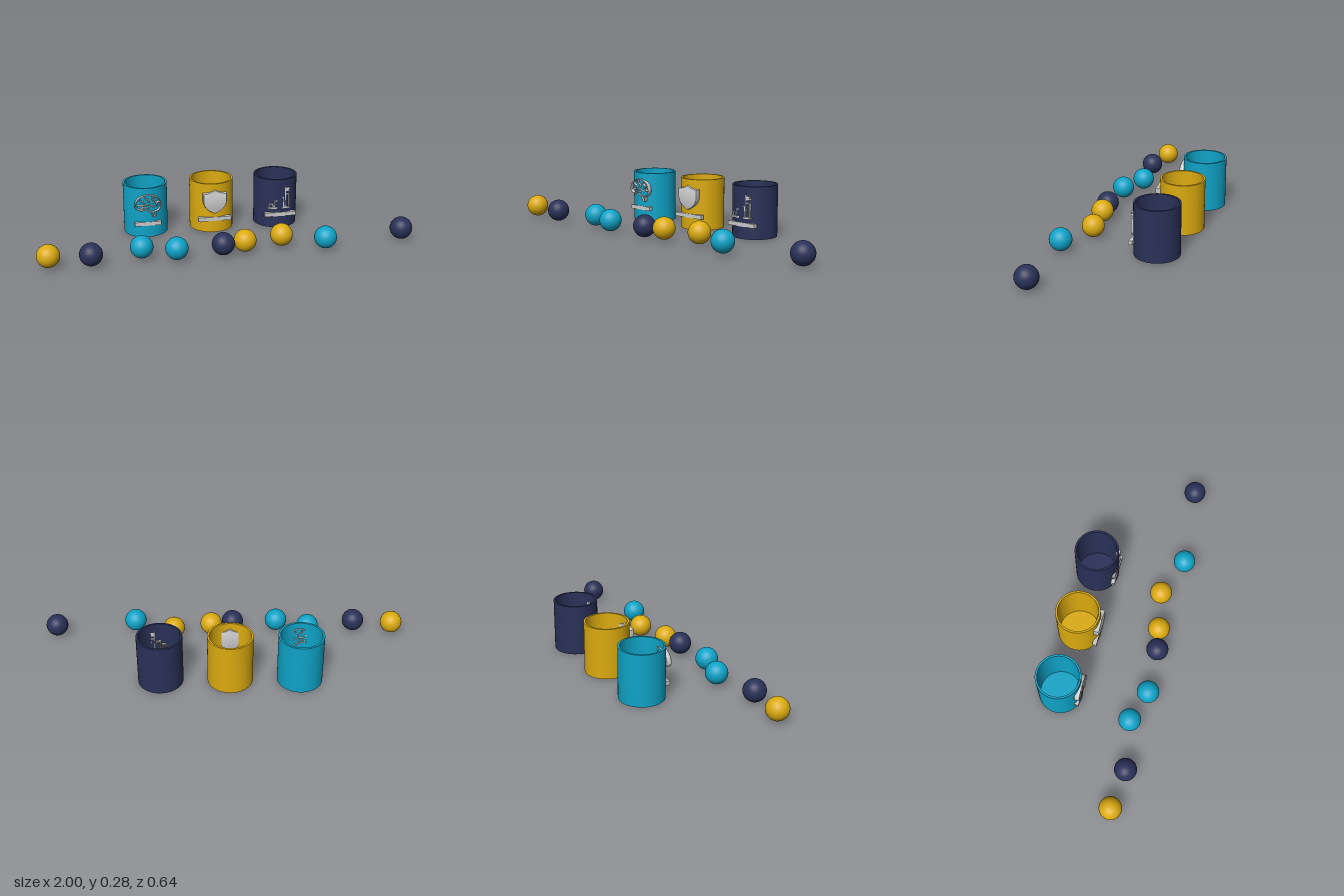
import * as THREE from 'three';
import { toCreasedNormals } from 'three/addons/utils/BufferGeometryUtils.js';

const material = (color) => new THREE.MeshStandardMaterial({ color });
const CYAN = material(0x0fa3c7);
const GOLD = material(0xdbab10);
const NAVY = material(0x2a3158);
const GREY = material(0xcccccc);

const CUP_Z = -0.202;

function add(parent, name, geometry, mat, x = 0, y = 0, z = 0) {
  const mesh = new THREE.Mesh(geometry, mat);
  mesh.name = name;
  mesh.position.set(x, y, z);
  parent.add(mesh);
  return mesh;
}

const polygon = (points) => new THREE.Shape(points.map(([x, y]) => new THREE.Vector2(x, y)));

// Rectangular outline of a given wall width
function frame(x, y, w, h, wall) {
  const rect = (i) => [[x + i, y + i], [x + w - i, y + i], [x + w - i, y + h - i], [x + i, y + h - i]];
  const shape = polygon(rect(0));
  shape.holes.push(polygon(rect(wall).reverse()));
  return shape;
}

// Raised line: a tube stretched in depth, so it stands out from the cup wall
function ridge(points, closed = false) {
  const curve = new THREE.CatmullRomCurve3(
    points.map(([x, y]) => new THREE.Vector3(x, y, 0)), closed);
  const geometry = new THREE.TubeGeometry(curve, points.length * 6, 0.0035, 8, closed);
  return geometry.scale(1, 1, 4.2);
}

// Open cup with a real wall and floor
function cupGeometry() {
  const profile = [[0, 0], [0.12, 0], [0.12, 0.28], [0.109, 0.28], [0.109, 0.01], [0, 0.01]];
  const lathe = new THREE.LatheGeometry(profile.map(([x, y]) => new THREE.Vector2(x, y)), 64);
  return toCreasedNormals(lathe, 0.6);
}

// Brain: outline, stem and folds
function brainRelief() {
  const relief = new THREE.Group();
  relief.name = 'brainRelief';
  const outline = [[-0.068, 0.175], [-0.065, 0.205], [-0.045, 0.228], [-0.015, 0.241], [0.02, 0.24],
    [0.05, 0.226], [0.067, 0.2], [0.068, 0.172], [0.052, 0.152], [0.03, 0.146], [0.008, 0.15],
    [-0.012, 0.158], [-0.04, 0.157]];
  add(relief, 'brainOutline', ridge(outline, true), GREY);
  const folds = [
    [[-0.06, 0.185], [-0.035, 0.182], [-0.01, 0.188], [0.015, 0.182], [0.035, 0.172]],
    [[-0.046, 0.225], [-0.042, 0.21], [-0.026, 0.203], [-0.02, 0.192]],
    [[-0.01, 0.238], [-0.012, 0.222], [0.004, 0.212], [0.005, 0.2]],
    [[0.03, 0.236], [0.024, 0.22], [0.036, 0.208], [0.03, 0.194]],
    [[0.065, 0.2], [0.053, 0.2], [0.047, 0.187], [0.053, 0.176]],
    [[-0.04, 0.158], [-0.03, 0.17], [-0.01, 0.172], [0.008, 0.166]],
    [[0.014, 0.15], [0.02, 0.134], [0.03, 0.119], [0.04, 0.122], [0.042, 0.147]],
  ];
  for (const fold of folds) add(relief, 'brainFold', ridge(fold), GREY);
  relief.position.z = -0.086;
  return relief;
}

// Shield with a bevelled rim
function shieldRelief() {
  const shape = new THREE.Shape();
  shape.moveTo(0, 0.241);
  shape.quadraticCurveTo(0.028, 0.224, 0.06, 0.222);
  shape.lineTo(0.06, 0.18);
  shape.quadraticCurveTo(0.055, 0.138, 0, 0.116);
  shape.quadraticCurveTo(-0.055, 0.138, -0.06, 0.18);
  shape.lineTo(-0.06, 0.222);
  shape.quadraticCurveTo(-0.028, 0.224, 0, 0.241);
  const geometry = new THREE.ExtrudeGeometry(shape, {
    depth: 0.022, bevelThickness: 0.005, bevelSize: 0.005, bevelSegments: 2, curveSegments: 12,
  });
  const relief = new THREE.Group();
  relief.name = 'shieldRelief';
  add(relief, 'shield', toCreasedNormals(geometry, 0.5), GREY, 0, 0, -0.098);
  return relief;
}

// Rising bar chart with a flag on the tallest bar
function chartRelief() {
  const relief = new THREE.Group();
  relief.name = 'chartRelief';
  const options = { depth: 0.022, bevelEnabled: false };
  const extrude = (name, shape) =>
    add(relief, name, new THREE.ExtrudeGeometry(shape, options), GREY, 0, 0, -0.105);
  [0.026, 0.044, 0.062, 0.082].forEach((height, i) =>
    extrude('chartBar', frame(-0.062 + i * 0.03, 0.114, 0.026, height, 0.005)));
  extrude('chartBase', polygon([[-0.066, 0.11], [0.06, 0.11], [0.06, 0.116], [-0.066, 0.116]]));
  extrude('flagPole', polygon([[0.028, 0.195], [0.033, 0.195], [0.033, 0.236], [0.028, 0.236]]));
  extrude('flag', polygon([[0.033, 0.21], [0.058, 0.21], [0.051, 0.22], [0.058, 0.23], [0.033, 0.23]]));
  return relief;
}

export function createModel() {
  const model = new THREE.Group();
  model.name = 'cupsAndBalls';

  // Three cups, each with its relief and a plain plate below
  const cups = [
    { name: 'leftmostCup', x: -0.395, mat: CYAN, relief: brainRelief(), plate: 0.145, shift: 0 },
    { name: 'middleCup', x: -0.027, mat: GOLD, relief: shieldRelief(), plate: 0.185, shift: 0 },
    { name: 'rightmostCup', x: 0.34, mat: NAVY, relief: chartRelief(), plate: 0.175, shift: 0.002 },
  ];
  for (const { name, x, mat, relief, plate, shift } of cups) {
    const group = new THREE.Group();
    group.name = name;
    group.position.x = x;
    add(group, 'cupBody', cupGeometry(), mat, 0, 0, CUP_Z);
    add(group, 'plate', new THREE.BoxGeometry(plate, 0.022, 0.023), GREY, shift, 0.077, -0.0915);
    group.add(relief);
    model.add(group);
  }

  // Balls scattered in a row before the cups: x, z, colour
  const ball = new THREE.SphereGeometry(0.06, 32, 20);
  const balls = [
    [-0.94, 0.226, GOLD], [-0.727, 0.249, NAVY], [-0.465, 0.201, CYAN],
    [-0.291, 0.256, CYAN], [-0.046, 0.244, NAVY], [0.074, 0.222, GOLD],
    [0.281, 0.181, GOLD], [0.5, 0.261, CYAN], [0.938, 0.215, NAVY],
  ];
  for (const [x, z, mat] of balls) add(model, 'ball', ball, mat, x, 0.067, z);

  return model;
}
